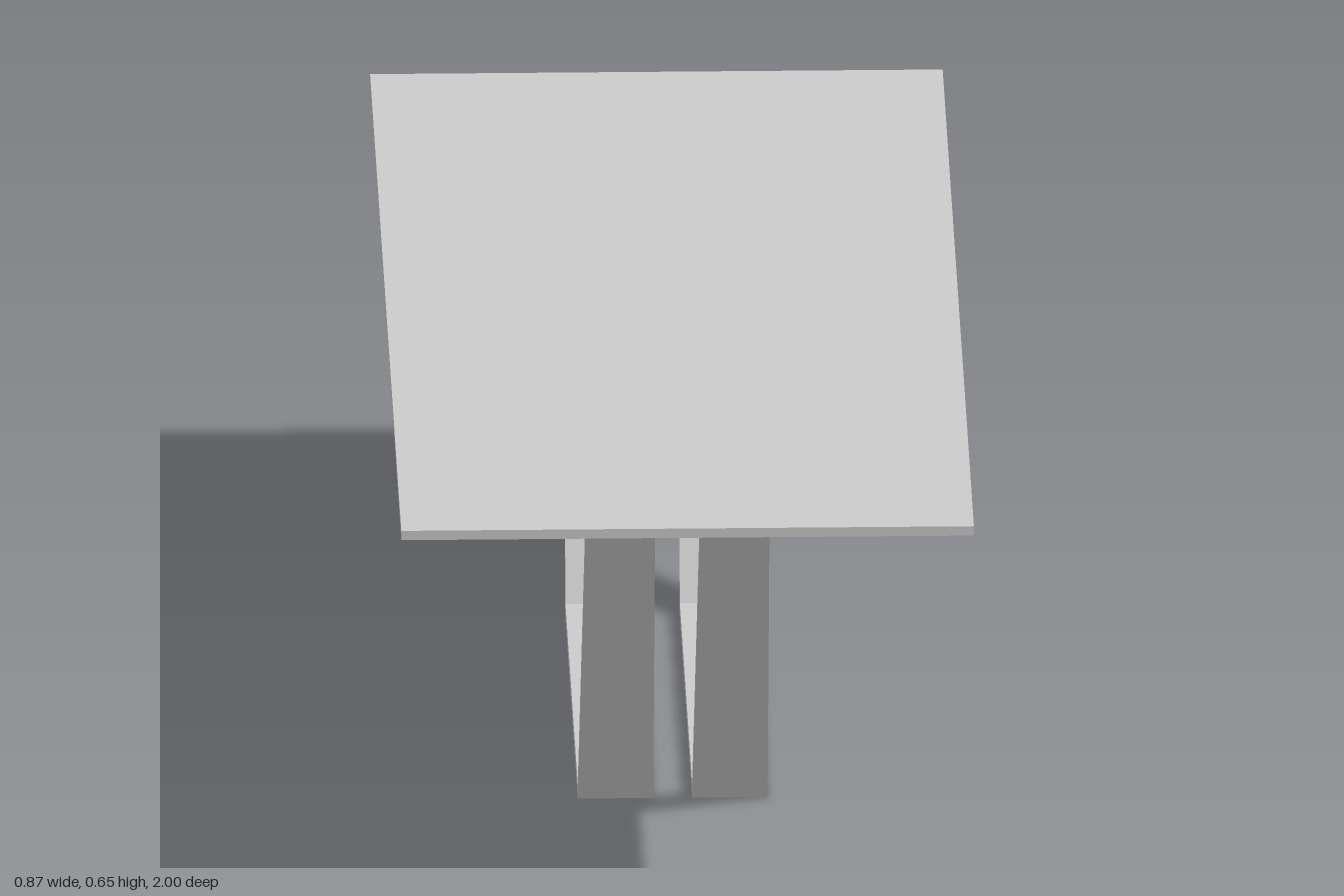
import * as THREE from 'three';

const TOP_UNDERSIDE = 0.638, TOP_HEIGHT = 0.653;
const LEG_WIDTH = 0.114, LEG_TAPER = 0.09;

// Open trapezoid strip: bottom bar with a slanted leg at each end
function legFrameGeometry() {
  const half = [[0.404, 0], [0.765, TOP_UNDERSIDE], [0.74, TOP_UNDERSIDE], [0.393, 0.02]];
  const mirrored = half.map(([z, y]) => [-z, y]).reverse();
  const shape = new THREE.Shape([...half, ...mirrored].map(([z, y]) => new THREE.Vector2(z, y)));
  const geometry = new THREE.ExtrudeGeometry(shape, { depth: LEG_WIDTH, bevelEnabled: false });
  geometry.translate(0, 0, -LEG_WIDTH / 2);
  geometry.rotateY(-Math.PI / 2);

  // Legs narrow slightly towards the top
  const p = geometry.attributes.position;
  for (let i = 0; i < p.count; i++) {
    p.setX(i, p.getX(i) * (1 - LEG_TAPER * p.getY(i) / TOP_UNDERSIDE));
  }
  geometry.computeVertexNormals();
  return geometry;
}

export function createModel() {
  const model = new THREE.Group();
  model.name = 'table';
  const material = new THREE.MeshStandardMaterial({ color: 0xcccccc });

  // Thin rectangular table top
  const thickness = TOP_HEIGHT - TOP_UNDERSIDE;
  const top = new THREE.Mesh(new THREE.BoxGeometry(0.866, thickness, 2), material);
  top.name = 'tableTop';
  top.position.y = TOP_UNDERSIDE + thickness / 2;
  model.add(top);

  // Two parallel leg frames, set slightly off centre
  const frame = legFrameGeometry();
  for (const [name, x] of [['rightLegFrame', -0.095], ['leftLegFrame', 0.078]]) {
    const leg = new THREE.Mesh(frame, material);
    leg.name = name;
    leg.position.x = x;
    model.add(leg);
  }
  return model;
}
